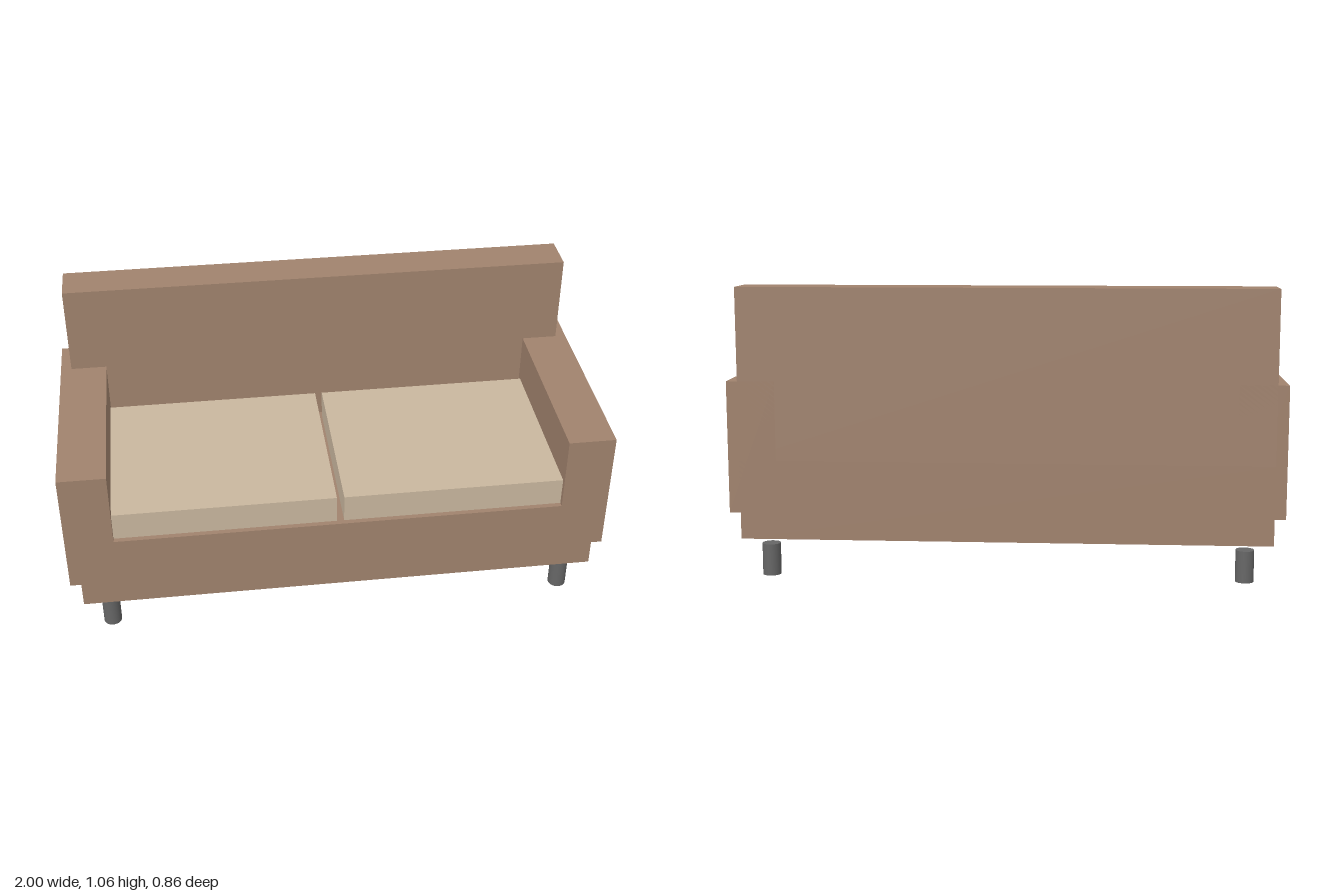
import * as THREE from 'three';

export function createModel() {
  const sofa = new THREE.Group();
  sofa.name = 'sofa';

  const material = (name, color) => {
    const m = new THREE.MeshStandardMaterial({ color });
    m.name = name;
    return m;
  };
  const upholstery = material('brown upholstery', 0xa0826d);
  const cushionFabric = material('beige cushion fabric', 0xc8b69e);
  const legMetal = material('grey leg metal', 0x666666);

  // Box given by its extents on each axis
  const addBox = (name, mat, [x0, x1], [y0, y1], [z0, z1]) => {
    const mesh = new THREE.Mesh(new THREE.BoxGeometry(x1 - x0, y1 - y0, z1 - z0), mat);
    mesh.position.set((x0 + x1) / 2, (y0 + y1) / 2, (z0 + z1) / 2);
    mesh.name = name;
    sofa.add(mesh);
  };
  const mirrored = (a, b, side) => (side > 0 ? [a, b] : [-b, -a]);
  const depth = 0.432;

  // Base and backrest
  addBox('base', upholstery, [-0.96, 0.96], [0.146, 0.434], [-depth, depth]);
  addBox('backrest', upholstery, [-0.96, 0.96], [0.434, 1.06], [-depth, -0.28]);

  const legGeometry = new THREE.CylinderGeometry(0.0335, 0.0335, 0.117, 24);
  for (const side of [1, -1]) {
    const label = side > 0 ? 'left' : 'right';

    // Armrest overhanging the base, and seat cushion
    addBox(label + 'Armrest', upholstery, mirrored(0.826, 1, side), [0.243, 0.723], [-depth, depth]);
    addBox(label + 'Cushion', cushionFabric, mirrored(0.0135, 0.826, side), [0.434, 0.541], [-0.262, 0.413]);

    // Front and back legs, with a small gap below the base
    for (const end of [1, -1]) {
      const leg = new THREE.Mesh(legGeometry, legMetal);
      leg.name = label + (end > 0 ? 'FrontLeg' : 'BackLeg');
      leg.position.set(side * 0.865, 0.0585, end * 0.366);
      sofa.add(leg);
    }
  }
  return sofa;
}
